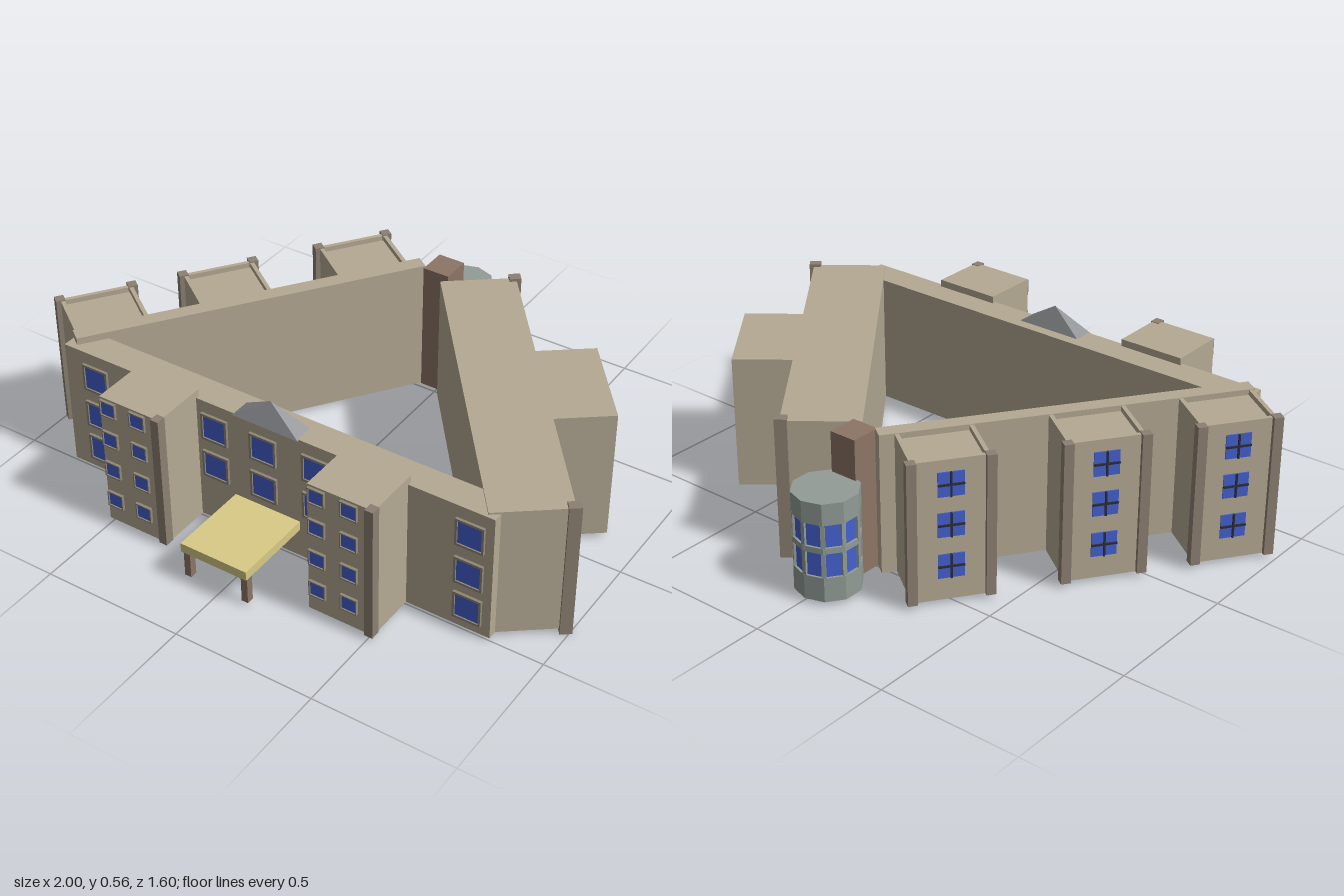
import * as THREE from 'three';

const mat = (color, extra = {}) => new THREE.MeshStandardMaterial({ color, flatShading: true, ...extra });
const WALL = mat(0xb4a993), PIER = mat(0x8c8072), GLASS = mat(0x4460d0), FRAME = mat(0x8f8778);
const BROWN = mat(0x8d7565), ROOF = mat(0x8d8e92), TURRET = mat(0x929c96), CANOPY = mat(0xd9ca86), DARK = mat(0x2c2c34);
const BASE = 0.015;

function add(parent, name, geometry, material) {
  const mesh = new THREE.Mesh(geometry, material);
  mesh.name = name;
  parent.add(mesh);
  return mesh;
}

// Box given by its minimum and maximum on each axis
function box(parent, name, material, x0, x1, y0, y1, z0, z1) {
  const m = add(parent, name, new THREE.BoxGeometry(x1 - x0, y1 - y0, z1 - z0), material);
  m.position.set((x0 + x1) / 2, (y0 + y1) / 2, (z0 + z1) / 2);
  return m;
}

// Rectangular path, used for outlines and holes
function rect(path, x0, x1, y0, y1) {
  path.moveTo(x0, y0);
  path.lineTo(x1, y0);
  path.lineTo(x1, y1);
  path.lineTo(x0, y1);
  path.closePath();
  return path;
}

// Wing frame: local x runs along the wall, local z points outward
function wing(parent, name, x, z, nx, nz) {
  const g = new THREE.Group();
  g.name = name;
  g.position.set(x, 0, z);
  g.rotation.y = Math.atan2(nx, nz);
  parent.add(g);
  return g;
}

// Framed window on a wall facing local +z
function framedWindow(parent, x, y, z, w, h, border) {
  const g = new THREE.Group();
  g.name = 'window';
  const outline = rect(new THREE.Shape(), -w / 2, w / 2, -h / 2, h / 2);
  const b = border;
  outline.holes.push(rect(new THREE.Path(), -w / 2 + b, w / 2 - b, -h / 2 + b, h / 2 - b));
  add(g, 'windowFrame', new THREE.ExtrudeGeometry(outline, { depth: 0.01, bevelEnabled: false }), FRAME);
  box(g, 'windowPane', GLASS, -w / 2 + b, w / 2 - b, -h / 2 + b, h / 2 - b, 0, 0.005);
  g.position.set(x, y, z);
  parent.add(g);
}

// Wall skin with long recessed strip windows behind it
function stripWall(parent, x0, x1, top, z, hx0, hx1, strips) {
  const shape = rect(new THREE.Shape(), x0, x1, BASE, top);
  for (const [y0, y1] of strips) {
    shape.holes.push(rect(new THREE.Path(), hx0, hx1, y0, y1));
    box(parent, 'stripWindow', GLASS, hx0, hx1, y0, y1, z - 0.005, z + 0.004);
  }
  const skin = add(parent, 'stripWall', new THREE.ExtrudeGeometry(shape, { depth: 0.03, bevelEnabled: false }), WALL);
  skin.position.z = z;
}

function frontWing(parent) {
  const g = new THREE.Group();
  g.name = 'frontWing';
  parent.add(g);
  box(g, 'frontWall', WALL, -0.805, 0.815, BASE, 0.48, 0.4, 0.505);
  // Large windows: three rows at the ends, two above the entrance
  for (const x of [-0.68, -0.2, -0.013, 0.185, 0.735])
    for (const y of Math.abs(x) > 0.5 ? [0.1, 0.238, 0.385] : [0.238, 0.385])
      framedWindow(g, x, y, 0.505, 0.1, 0.1, 0.008);
  // Projecting towers with four rows of paired small windows
  for (const x of [-0.388, 0.398]) {
    box(g, 'frontTower', WALL, x - 0.118, x + 0.118, BASE, 0.505, 0.49, 0.69);
    box(g, 'towerPier', PIER, x + 0.092, x + 0.122, BASE, 0.507, 0.668, 0.702);
    for (const dx of [-0.083, 0.032])
      for (const y of [0.105, 0.228, 0.35, 0.469]) framedWindow(g, x + dx, y, 0.69, 0.06, 0.058, 0.004);
  }
  // Pyramid over the entrance
  const pyramid = add(g, 'entrancePyramid', new THREE.ConeGeometry(Math.SQRT1_2, 1, 4).rotateY(Math.PI / 4), ROOF);
  pyramid.scale.set(0.25, 0.08, 0.075);
  pyramid.position.set(-0.003, 0.517, 0.474);
  // Entrance canopy on two posts
  box(g, 'canopy', CANOPY, -0.13, 0.12, 0.122, 0.155, 0.505, 0.795);
  for (const x of [-0.12, 0.1])
    box(g, 'canopyPost', BROWN, x - 0.012, x + 0.012, BASE, 0.122, 0.754, 0.78);
}

function leftWing(parent) {
  const g = wing(parent, 'rightHandWing', -0.055, -0.51, -0.813, -0.582);
  box(g, 'wingWall', WALL, 0, 1.225, BASE, 0.505, 0, 0.053);
  for (const x of [0.174, 0.665, 1.094]) {
    const t = new THREE.Group();
    t.name = 'sideTower';
    t.position.set(x, 0, 0.05);
    g.add(t);
    // Sunken roof inside a raised rim
    box(t, 'towerBody', WALL, -0.125, 0.125, BASE, 0.485, 0, 0.2);
    for (const s of [-1, 1]) {
      box(t, 'roofRim', WALL, s * 0.118 - 0.007, s * 0.118 + 0.007, 0.48, 0.503, 0, 0.2);
      box(t, 'towerPier', PIER, s * 0.125 - 0.016, s * 0.125 + 0.016, BASE, 0.507, 0.183, 0.215);
    }
    box(t, 'roofRim', WALL, -0.11, 0.11, 0.48, 0.503, 0.186, 0.2);
    // Windows with a dark cross
    for (const y of [0.135, 0.28, 0.42]) {
      box(t, 'towerWindow', GLASS, -0.042, 0.042, y - 0.042, y + 0.042, 0.195, 0.204);
      box(t, 'windowMullion', DARK, -0.003, 0.003, y - 0.042, y + 0.042, 0.2, 0.21);
      box(t, 'windowTransom', DARK, -0.042, 0.042, y - 0.003, y + 0.003, 0.2, 0.21);
    }
  }
}

function rightWing(parent) {
  const g = wing(parent, 'leftHandWing', 0.785, 0.495, 0.788, -0.616);
  const top = 0.487, L = 1.235, a = 0.434, b = 0.8;
  const outer = [[0.09, 0.17], [0.275, 0.37]], middle = [[0.13, 0.195], [0.245, 0.37]];
  box(g, 'wingBody', WALL, 0, L, BASE, top, 0, 0.23);
  box(g, 'projectingBlock', WALL, a, b, BASE, top, 0.22, 0.432);
  stripWall(g, 0, a, top, 0.23, 0.015, a - 0.002, outer);
  stripWall(g, b, L, top, 0.23, b + 0.002, L - 0.03, outer);
  stripWall(g, a, b, top, 0.432, a + 0.004, b - 0.015, middle);
  for (const x of [0.005, L - 0.005])
    box(g, 'cornerPier', PIER, x - 0.017, x + 0.017, 0, 0.497, 0.235, 0.275);
}

function turret(parent) {
  const g = new THREE.Group();
  g.name = 'turret';
  g.position.set(-0.01, 0, -0.69);
  parent.add(g);
  const ring = (name, m, r, y0, y1) => {
    add(g, name, new THREE.CylinderGeometry(r, r, y1 - y0, 10), m).position.y = (y0 + y1) / 2;
  };
  ring('turretGlass', GLASS, 0.102, 0.05, 0.32);
  for (const [y0, y1] of [[BASE, 0.1], [0.185, 0.205], [0.285, 0.36]]) ring('turretBand', TURRET, 0.11, y0, y1);
  // Upright at every corner
  for (let i = 0; i < 10; i++) {
    const t = (i / 10) * Math.PI * 2;
    const post = box(g, 'turretMullion', TURRET, -0.007, 0.007, 0.09, 0.3, -0.005, 0.005);
    post.position.x = Math.sin(t) * 0.103;
    post.position.z = Math.cos(t) * 0.103;
    post.rotation.y = t;
  }
}

export function createModel() {
  const model = new THREE.Group();
  model.name = 'courtyardBuilding';
  frontWing(model);
  leftWing(model);
  rightWing(model);
  turret(model);
  // Link between the turret and the wings
  box(model, 'turretLink', BROWN, -0.056, 0.042, BASE, 0.5, -0.605, -0.5);
  return model;
}
